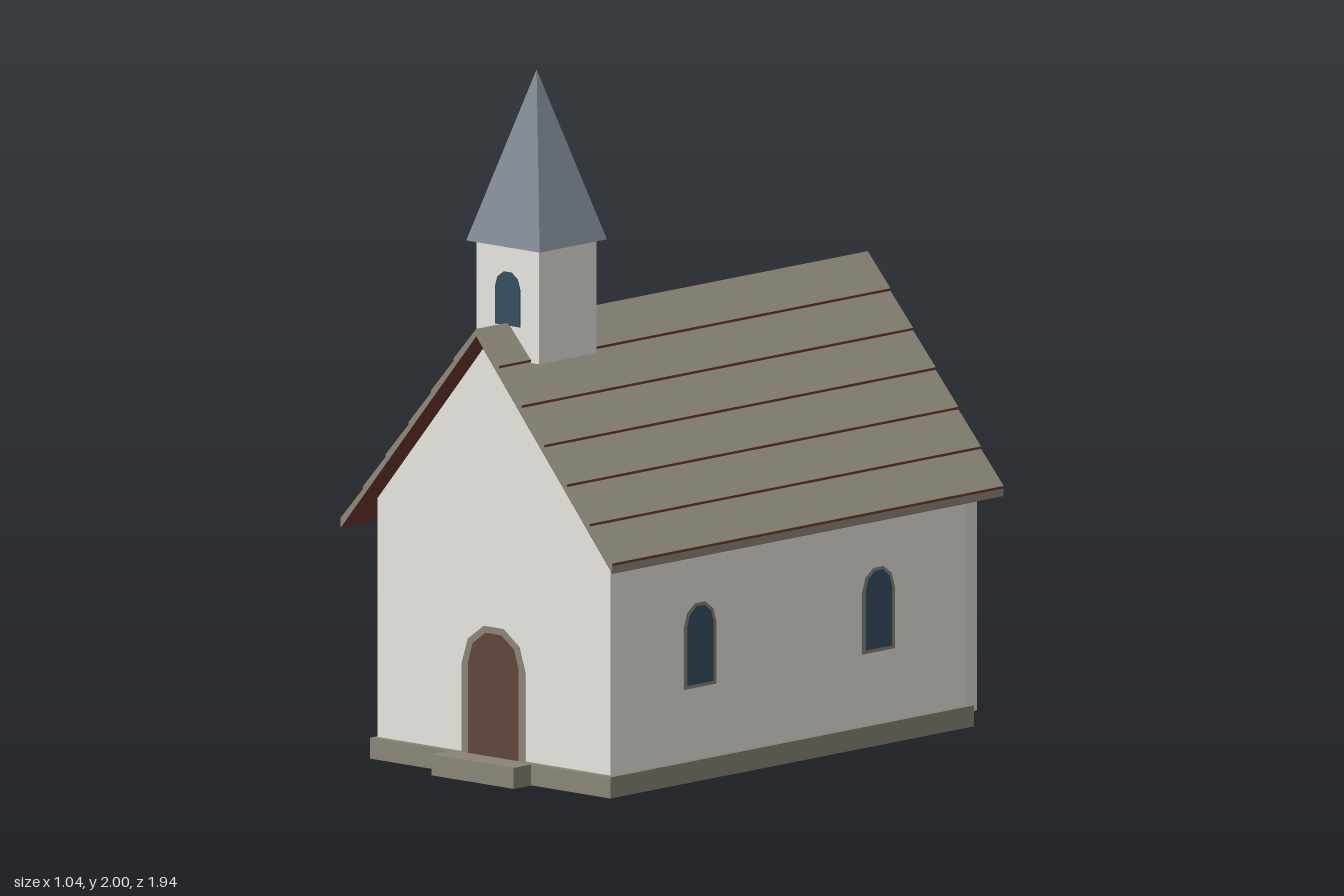
import * as THREE from 'three';

const mat = (name, color, flatShading = false) => {
  const m = new THREE.MeshStandardMaterial({ color, flatShading, side: THREE.DoubleSide });
  m.name = name;
  return m;
};

export function createModel() {
  const wall = mat('plaster', 0xe7e5df);
  const stone = mat('stone', 0x8b8577);
  const shingle = mat('shingle', 0x8d887a, true);
  const red = mat('red brown', 0x723a2e);
  const slate = mat('slate', 0x7f8993, true);
  const wood = mat('door wood', 0x60463b);
  const glass = mat('window glass', 0x344f60);

  const model = new THREE.Group();
  const add = (name, geo, material, x = 0, y = 0, z = 0, parent = model) => {
    const mesh = new THREE.Mesh(geo, material);
    mesh.name = name;
    mesh.position.set(x, y, z);
    parent.add(mesh);
  };
  // Box without its bottom face
  const openBox = (w, h, d) => {
    const geo = new THREE.BoxGeometry(w, h, d);
    geo.setIndex([...geo.index.array].filter((_, i) => i < 18 || i >= 24));
    geo.clearGroups();
    return geo;
  };
  const prism = (pts, depth) => new THREE.ExtrudeGeometry(
    new THREE.Shape(pts.map(([x, y]) => new THREE.Vector2(x, y))), { depth, bevelEnabled: false });
  // Round-headed plate standing on y = 0, facing +z
  const arch = (r, height, depth) => {
    const pts = [[-r, 0], [r, 0]];
    for (let i = 0; i <= 5; i++) {
      const a = i * Math.PI / 5;
      pts.push([r * Math.cos(a), height - r + r * Math.sin(a)]);
    }
    return prism(pts, depth);
  };
  const frameDepth = 0.0015, paneDepth = 0.003;

  // Hollow plinth and doorstep
  add('plinth', openBox(0.915, 0.06, 1.513), stone, 0, 0.03, 0.1385);
  add('doorstep', openBox(0.312, 0.06, 0.073), stone, 0, 0.03, 0.9325);

  // Hall with gables
  add('hall', prism([[-0.444, 0.062], [0.444, 0.062], [0.444, 0.743], [0, 1.27], [-0.444, 0.743]], 1.478),
    wall, 0, 0, -0.598);

  // Roof: each slope is a thin slab carrying six slightly stepped shingle rows
  const eaveX = 0.518, ridgeY = 1.293, eaveY = 0.68, len = 1.629, rows = 6, lip = 0.007;
  const drop = ridgeY - eaveY;
  for (const turn of [0, Math.PI]) {
    const slope = new THREE.Group();
    slope.name = 'roofSlope';
    slope.position.z = 0.1385;
    slope.rotation.y = turn;
    model.add(slope);
    add('roofSlab', prism([[0, ridgeY - 0.021], [eaveX, eaveY - 0.021], [eaveX, eaveY], [0, ridgeY]], len),
      shingle, 0, 0, -len / 2, slope);
    const dx = eaveX / rows, dy = drop / rows;
    const edge = new THREE.PlaneGeometry(len, lip).rotateY(Math.PI / 2);
    for (let i = 0; i < rows; i++) {
      const row = prism([[0, 0], [dx, -dy], [dx, -dy + lip]], len);
      add('shingleRow', row, shingle, i * dx, ridgeY - i * dy, -len / 2, slope);
      add('shingleEdge', edge, red, (i + 1) * dx + 0.001, ridgeY - (i + 1) * dy + lip / 2, 0, slope);
    }
    const under = new THREE.PlaneGeometry(Math.hypot(eaveX, drop), len)
      .rotateX(Math.PI / 2).rotateZ(-Math.atan2(drop, eaveX));
    add('roofUnderside', under, red, eaveX / 2, (ridgeY + eaveY) / 2 - 0.0225, 0, slope);
  }

  // Bell tower and open spire
  add('tower', new THREE.BoxGeometry(0.238, 0.327, 0.238), wall, 0, 1.3515, 0.702);
  add('spire', new THREE.ConeGeometry(0.14 * Math.SQRT2, 0.487, 4, 1, true).rotateY(Math.PI / 4),
    slate, 0, 1.7565, 0.702);
  add('towerWindow', arch(0.047, 0.155, paneDepth), glass, 0, 1.285, 0.821);

  // Faceted apse at the back, open below
  add('apse', new THREE.CylinderGeometry(0.361, 0.361, 0.63, 5, 1, true, Math.PI / 2, Math.PI),
    wall, 0, 0.315, -0.6);
  add('apseRoof', new THREE.ConeGeometry(0.388, 0.325, 10, 1, true).rotateY(Math.PI / 10),
    shingle, 0, 0.7865, -0.601);

  // Door
  add('doorFrame', arch(0.121, 0.376, frameDepth), stone, 0, 0.06, 0.88);
  add('door', arch(0.096, 0.356, paneDepth), wood, 0, 0.06, 0.88);

  // Side windows
  for (const side of [1, -1]) {
    for (const z of [0.508, -0.234]) {
      const win = new THREE.Group();
      win.name = 'sideWindow';
      win.position.set(side * 0.444, 0.265, z);
      win.rotation.y = side * Math.PI / 2;
      model.add(win);
      add('windowFrame', arch(0.068, 0.245, frameDepth), stone, 0, 0, 0, win);
      add('windowPane', arch(0.054, 0.225, paneDepth), glass, 0, 0.01, 0, win);
    }
  }
  return model;
}
